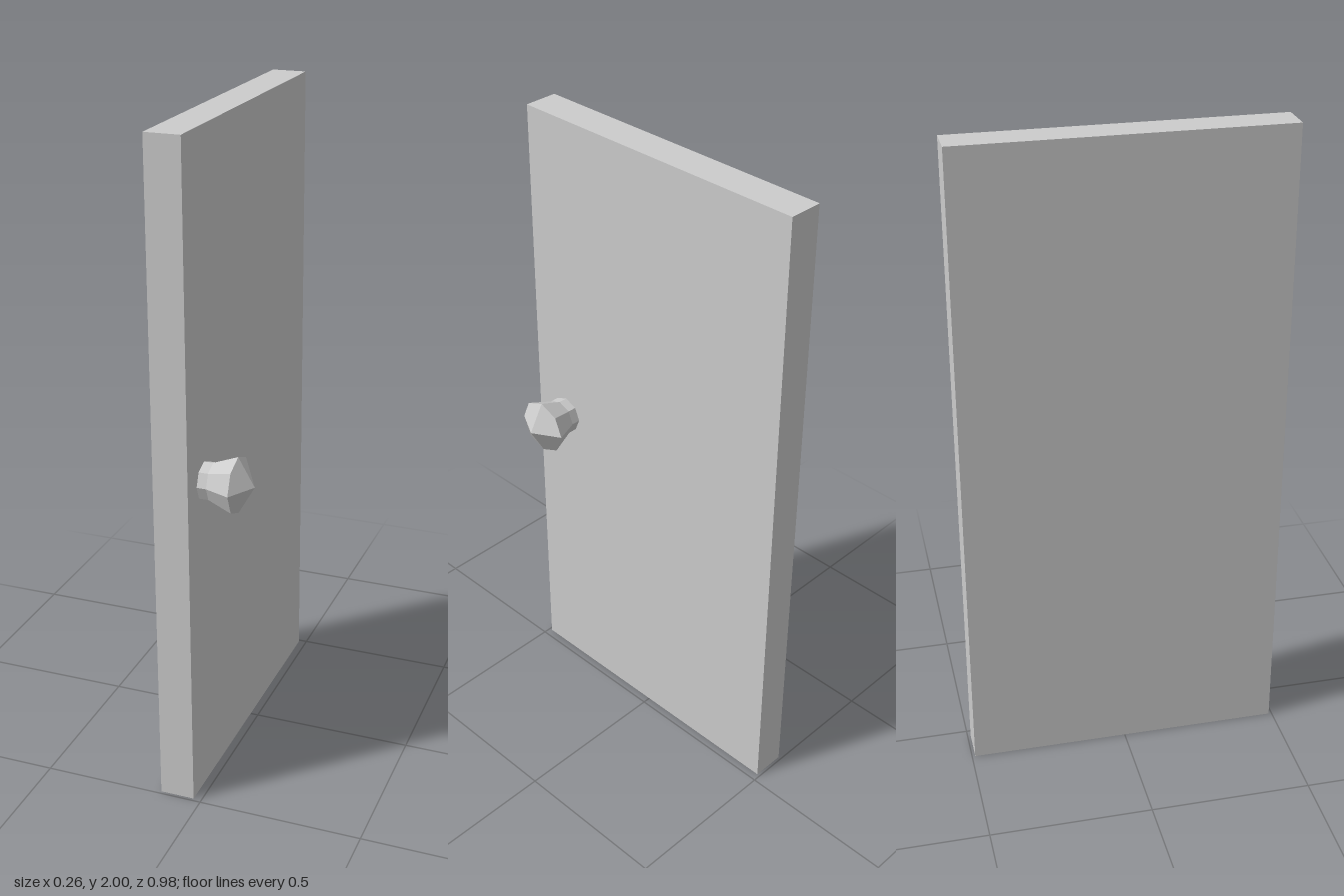
import * as THREE from 'three';

const KNOB_SIDES = 8;

// Cone of paired facets: each quarter shares one shading normal
function facetedTip(radius, height) {
  const geo = new THREE.ConeGeometry(radius, height, KNOB_SIDES, 1, true).toNonIndexed();
  const pos = geo.attributes.position;
  const normal = geo.attributes.normal;
  for (let i = 0; i < pos.count; i += 3) {
    const cx = pos.getX(i) + pos.getX(i + 1) + pos.getX(i + 2);
    const cz = pos.getZ(i) + pos.getZ(i + 1) + pos.getZ(i + 2);
    const n = new THREE.Vector3(Math.sign(cx) / radius, 1 / height, Math.sign(cz) / radius).normalize();
    for (let k = i; k < i + 3; k++) normal.setXYZ(k, n.x, n.y, n.z);
  }
  return geo;
}

export function createModel() {
  const model = new THREE.Group();
  model.name = 'door';
  const flat = new THREE.MeshStandardMaterial({ color: 0xcccccc, flatShading: true });
  const shaded = new THREE.MeshStandardMaterial({ color: 0xcccccc });

  // Door slab
  const panel = new THREE.Mesh(new THREE.BoxGeometry(0.105, 2, 0.98), flat);
  panel.name = 'doorPanel';
  panel.position.set(-0.0775, 1, 0);
  model.add(panel);

  // Knob, built upright and turned to point along +x
  const knob = new THREE.Group();
  knob.name = 'knob';
  knob.position.set(0, 1, 0.369);
  knob.rotation.z = -Math.PI / 2;
  model.add(knob);

  // Straight neck flaring out to the widest ring
  const profile = [[0.057, -0.025], [0.057, 0.003], [0.086, 0.078]]
    .map(([r, y]) => new THREE.Vector2(r, y));
  const neck = new THREE.Mesh(new THREE.LatheGeometry(profile, KNOB_SIDES), flat);
  neck.name = 'knobNeck';
  knob.add(neck);

  // Pointed end
  const tip = new THREE.Mesh(facetedTip(0.086, 0.049), shaded);
  tip.name = 'knobTip';
  tip.position.y = 0.078 + 0.049 / 2;
  knob.add(tip);

  return model;
}
